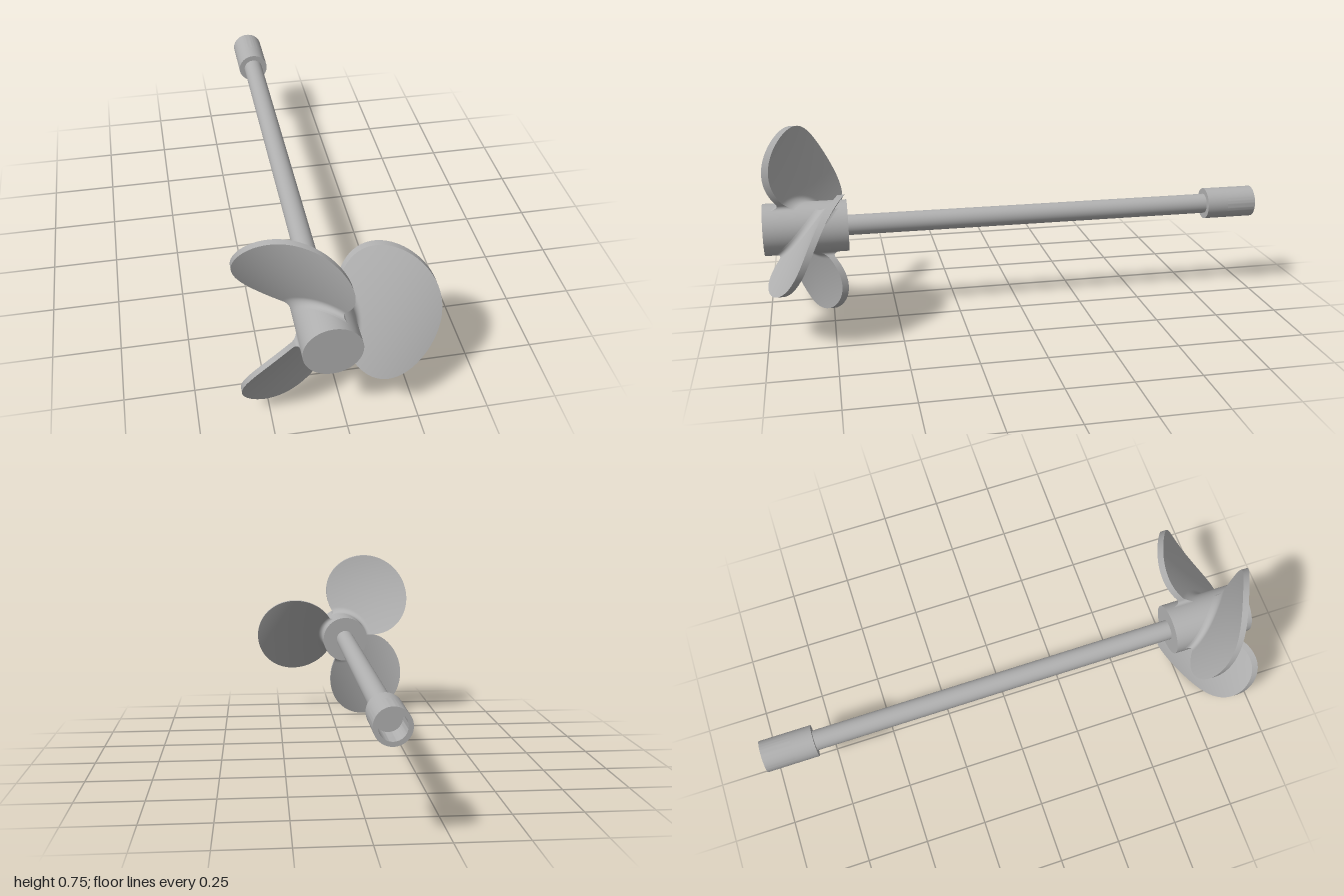
import * as THREE from 'three';
import { ParametricGeometry } from 'three/addons/geometries/ParametricGeometry.js';
import { toCreasedNormals } from 'three/addons/utils/BufferGeometryUtils.js';

const HUB_R = 0.101, HUB_Z = 0.84;   // hub radius and middle
const DISC_X = 0.225, DISC_R = 0.181; // round blade outline, measured from the axis
const HALF_T = 0.0125;               // half blade thickness along the axis
const ROOT_ANGLE = Math.acos((HUB_R ** 2 - DISC_X ** 2 - DISC_R ** 2) / (2 * DISC_X * DISC_R));

// Quarter-round fillet height at radius r, where the blade runs into the hub
function fillet(r, size) {
  const u = Math.min(size, Math.max(0, r - HUB_R));
  return size - Math.sqrt(size * size - (size - u) ** 2);
}

// Blade point: t 0 tip to 1 root, side -1..1 across, face -1 back to 1 front
function bladePoint(t, side, face, target) {
  const a = ROOT_ANGLE * (1 - (1 - t) ** 1.6);
  const px = DISC_X + DISC_R * Math.cos(a), py = DISC_R * Math.sin(a);
  const r = Math.hypot(px, py);
  const angle = side * (Math.atan2(py, px) + fillet(r, 0.014) / r);
  const x = r * Math.cos(angle), y = r * Math.sin(angle);
  const pitch = 0.8 * (1 - 1.9 * (x - 0.168)); // steeper near the hub
  const half = HALF_T + 1.3 * fillet(r, 0.024);
  target.set(x, y, HUB_Z - pitch * y + face * half);
}

export function createModel() {
  const metal = new THREE.MeshStandardMaterial({ color: 0xb0b0b0 });
  metal.name = 'grey metal';

  const model = new THREE.Group();
  model.name = 'propellerOnShaft';
  const assembly = new THREE.Group();
  assembly.name = 'assembly';
  assembly.position.set(-0.058, 0.377, 0); // everything turns about this axis
  model.add(assembly);

  function addMesh(parent, name, geometry) {
    const mesh = new THREE.Mesh(geometry, metal);
    mesh.name = name;
    parent.add(mesh);
    return mesh;
  }

  // Cylinder lying along z
  function addRod(name, radius, z0, z1) {
    const geometry = new THREE.CylinderGeometry(radius, radius, z1 - z0, 64);
    geometry.rotateX(Math.PI / 2).translate(0, 0, (z0 + z1) / 2);
    return addMesh(assembly, name, geometry);
  }

  addRod('hub', HUB_R, 0.68, 1);
  addRod('shaft', 0.04, -0.82, 0.7);
  addRod('couplingBase', 0.063, -0.88, -0.795);

  // Open end of the coupling, with a D-shaped bore
  const ring = new THREE.Shape();
  ring.absarc(0, 0, 0.063, 0, Math.PI * 2, false);
  const bore = new THREE.Path();
  const flat = 0.7;
  bore.absarc(0, 0, 0.047, Math.PI - flat, Math.PI * 2 + flat, false);
  bore.closePath();
  ring.holes.push(bore);
  const socket = new THREE.ExtrudeGeometry(ring, { depth: 0.12, bevelEnabled: false, curveSegments: 32 });
  socket.translate(0, 0, -1);
  addMesh(assembly, 'couplingSocket', toCreasedNormals(socket, 0.5));

  // Blade surfaces: front face, back face and the rim around the outline
  const surfaces = {
    bladeFront: new ParametricGeometry((u, v, p) => bladePoint(v, 2 * u - 1, 1, p), 32, 60),
    bladeBack: new ParametricGeometry((u, v, p) => bladePoint(v, 1 - 2 * u, -1, p), 32, 60),
    bladeRim: new ParametricGeometry((u, v, p) => {
      const s = 2 * u - 1;
      bladePoint(Math.abs(s), Math.sign(s), 2 * v - 1, p);
    }, 120, 1),
  };
  for (const geometry of Object.values(surfaces)) geometry.computeVertexNormals();

  // Three blades, evenly spaced
  for (let i = 0; i < 3; i++) {
    const blade = new THREE.Group();
    blade.name = 'blade' + (i + 1);
    blade.rotation.z = (i * Math.PI * 2) / 3;
    for (const [name, geometry] of Object.entries(surfaces)) addMesh(blade, name, geometry);
    assembly.add(blade);
  }

  return model;
}
